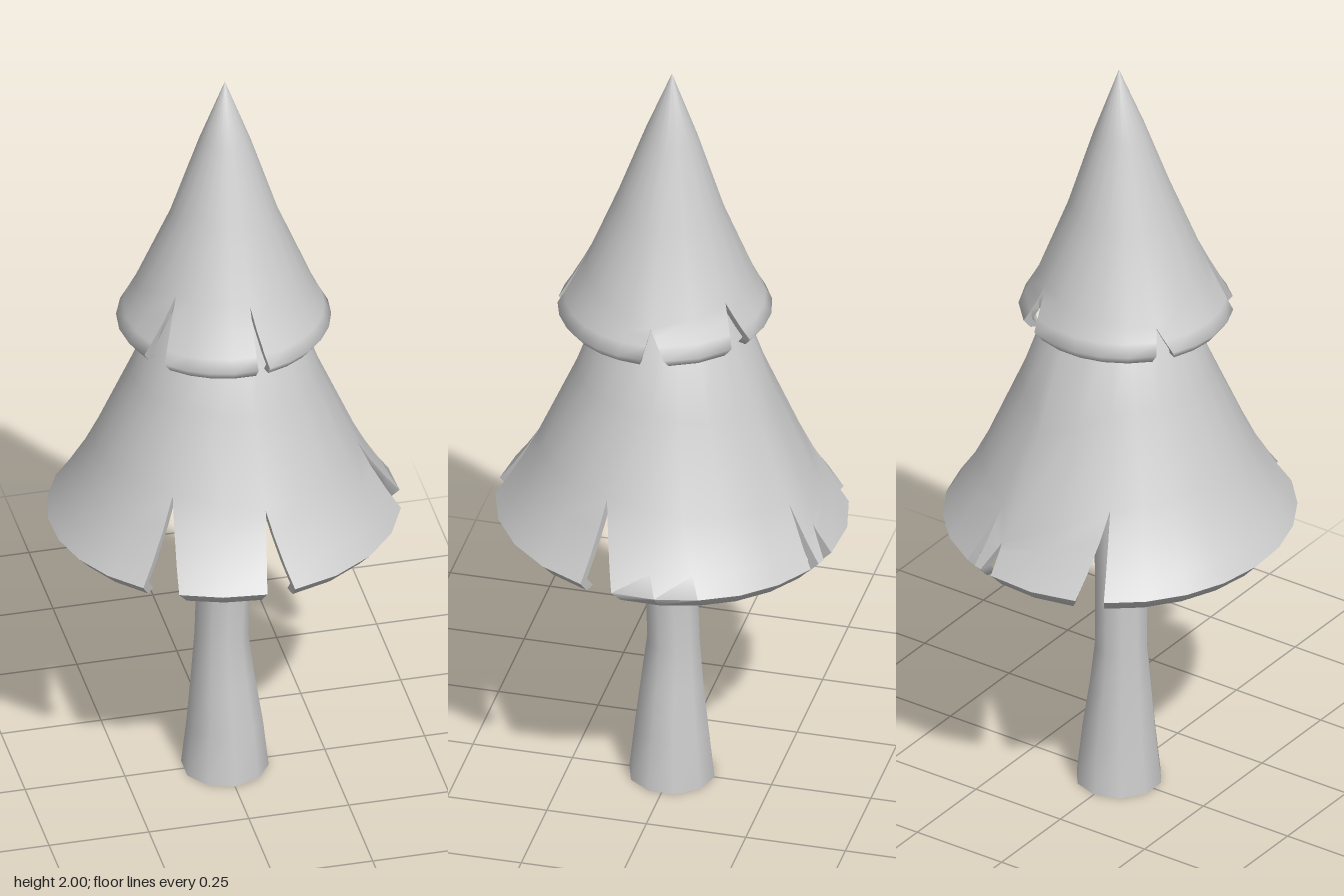
import * as THREE from 'three';
import { toCreasedNormals } from 'three/addons/utils/BufferGeometryUtils.js';

const material = new THREE.MeshStandardMaterial({ color: 0xcccccc, side: THREE.DoubleSide });
const { lerp, degToRad } = THREE.MathUtils;

// Radius at height y on a profile of [y, radius] points listed from the top down
function radiusAt(profile, y) {
  for (let i = 1; i < profile.length; i++) {
    const [y0, r0] = profile[i - 1], [y1, r1] = profile[i];
    if (y >= y1) return lerp(r0, r1, Math.min(1, Math.max(0, (y0 - y) / (y0 - y1))));
  }
  return profile[profile.length - 1][1];
}

// Hollow foliage skirt with V-shaped slits.
// A slit is [apex angle, apex height, rim angle before, rim angle after], in degrees.
function createTier(name, { profile, slits, thickness, centre, tilt }) {
  const top = profile[0][0];
  const [strip, bulge, lip] = profile.slice(-3).map((p) => p[0]);

  // One column of points: down the outside, round the lip, up the inside
  function column(apexAngle, apexY, rimAngle) {
    const ys = [0, 0.3, 0.65, 1].map((t) => lerp(top, apexY, t));
    ys.push((apexY + strip) / 2, strip, bulge, lip);
    const place = (y, inset, drop) => {
      const f = Math.max(0, (apexY - y) / (apexY - lip));
      const a = degToRad(lerp(apexAngle, rimAngle, f));
      const r = Math.max(0, radiusAt(profile, y) - inset);
      const s = (top - y) / (top - lip);
      const z = r * Math.sin(a) + centre[1] * s;
      return [r * Math.cos(a) + centre[0] * s, y - drop + tilt * z * s, z];
    };
    const outer = ys.map((y) => place(y, 0, 0));
    const inner = ys.map((y, j) => place(y, thickness, j === 0 ? thickness * 2 : 0));
    return [...outer, ...inner.reverse()];
  }

  const positions = [];
  const quad = (a, b, c, d) => positions.push(...a, ...b, ...c, ...a, ...c, ...d);

  slits.forEach((slit, i) => {
    const next = slits[(i + 1) % slits.length];
    const turn = i === slits.length - 1 ? 360 : 0;
    const n = Math.max(1, Math.round((next[2] + turn - slit[3]) / 14));
    const columns = [];
    for (let k = 0; k <= n; k++) {
      const t = k / n;
      columns.push(column(
        lerp(slit[0], next[0] + turn, t),
        lerp(slit[1], next[1], t),
        lerp(slit[3], next[2] + turn, t)));
    }
    // Panel between two slits
    for (let k = 0; k < n; k++) {
      const p = columns[k], q = columns[k + 1];
      for (let j = 0; j < p.length - 1; j++) quad(p[j], q[j], q[j + 1], p[j + 1]);
    }
    // Cut faces on both sides of the panel
    const a = columns[0], b = columns[n], last = a.length - 1;
    for (let j = 3; j < 7; j++) {
      quad(a[j], a[j + 1], a[last - j - 1], a[last - j]);
      quad(b[j], b[last - j], b[last - j - 1], b[j + 1]);
    }
  });

  const geometry = new THREE.BufferGeometry();
  geometry.setAttribute('position', new THREE.Float32BufferAttribute(positions, 3));
  const mesh = new THREE.Mesh(toCreasedNormals(geometry, 1.3), material);
  mesh.name = name;
  return mesh;
}

// Slightly bent trunk, wide at the foot: rings of [y, radius, x, z]
function createTrunk() {
  const rings = [
    [0, 0.107, 0, 0], [0.13, 0.093, 0, 0], [0.26, 0.078, -0.005, 0], [0.38, 0.066, -0.008, -0.002],
    [0.55, 0.066, -0.004, 0.003], [0.72, 0.069, 0, 0.008], [1.1, 0.07, 0.005, 0.01],
  ];
  const geometry = new THREE.CylinderGeometry(1, 1, rings.length - 1, 10, rings.length - 1);
  const pos = geometry.attributes.position;
  for (let i = 0; i < pos.count; i++) {
    const [y, r, x, z] = rings[Math.round(pos.getY(i) + (rings.length - 1) / 2)];
    pos.setXYZ(i, pos.getX(i) * r + x, y, pos.getZ(i) * r + z);
  }
  const mesh = new THREE.Mesh(toCreasedNormals(geometry, 0.9), material);
  mesh.name = 'trunk';
  return mesh;
}

export function createModel() {
  const group = new THREE.Group();
  group.name = 'tree';
  group.add(createTrunk());

  group.add(createTier('lowerFoliage', {
    profile: [[1.55, 0], [1.5, 0.11], [1.3, 0.185], [1.2, 0.215], [1.0, 0.3], [0.9, 0.345],
      [0.81, 0.398], [0.76, 0.432], [0.725, 0.4]],
    slits: [
      [15, 0.95, 4, 17], [85.4, 0.94, 78.7, 90], [127, 0.97, 116.5, 131],
      [239.3, 0.95, 240.6, 251.6], [283, 0.83, 281.3, 289], [290.3, 0.9, 290, 295.3],
    ],
    thickness: 0.03, centre: [-0.003, 0], tilt: 0.04,
  }));

  group.add(createTier('upperFoliage', {
    profile: [[2, 0], [1.8, 0.075], [1.57, 0.15], [1.45, 0.2], [1.36, 0.245], [1.33, 0.262], [1.305, 0.243]],
    slits: [
      [84, 1.47, 77, 84.6], [142, 1.48, 136, 152.5], [216, 1.39, 206.6, 220],
      [302, 1.43, 291.6, 308.7], [354.7, 1.4, 343.4, 360],
    ],
    thickness: 0.022, centre: [-0.008, 0.02], tilt: 0,
  }));
  return group;
}
